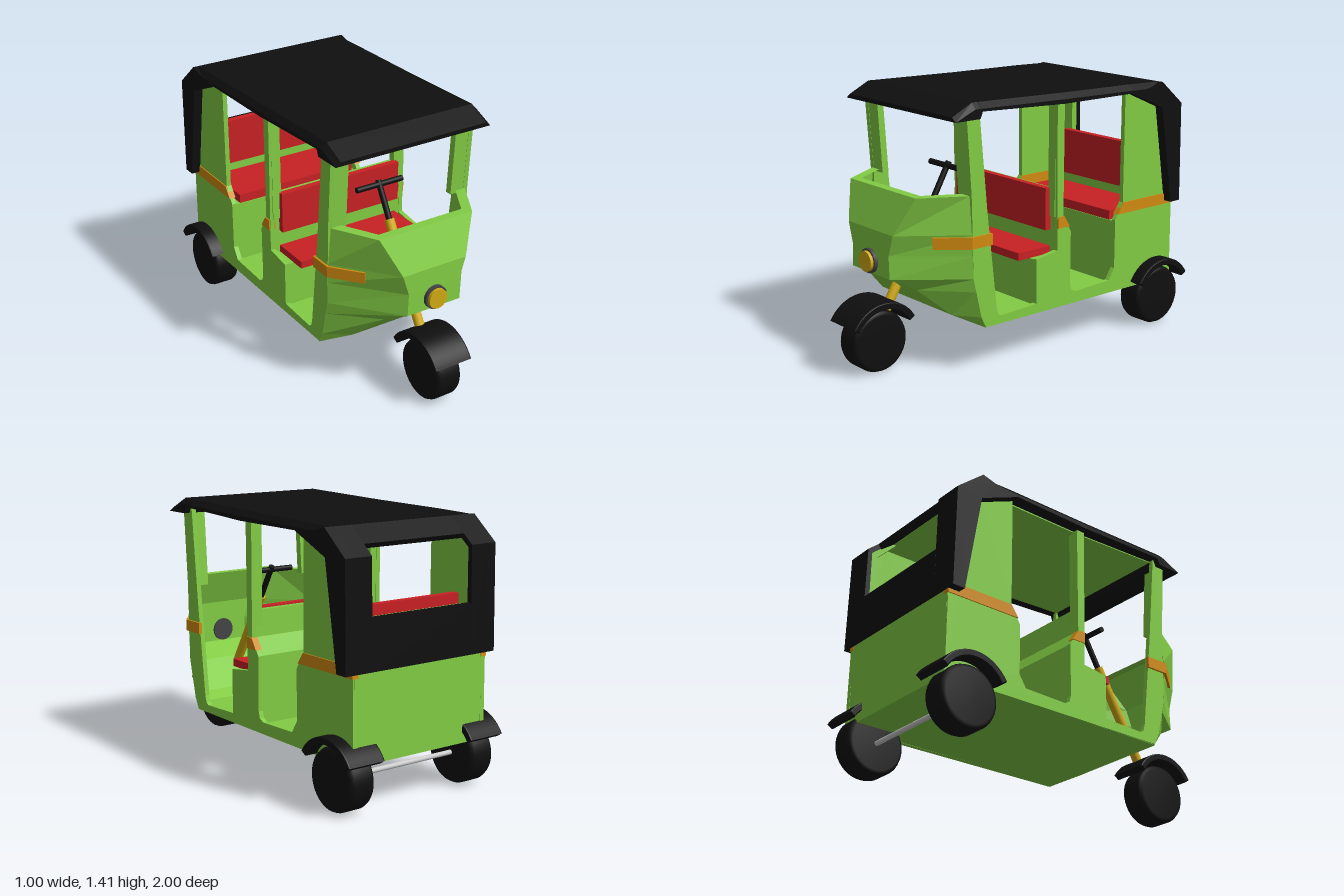
import * as THREE from 'three';

const mat = (color, extra = {}) => new THREE.MeshStandardMaterial({ color, ...extra });
const green = mat(0x82cc44);
const greenShell = mat(0x82cc44, { flatShading: true, side: THREE.DoubleSide });
const black = mat(0x0f0f0f);
const blackFlat = mat(0x0f0f0f, { flatShading: true, side: THREE.DoubleSide });
const red = mat(0xc82024);
const orange = mat(0xd08a10);
const yellow = mat(0xd0aa14);
const grey = mat(0xcccccc);
const darkGrey = mat(0x444444);

const toShape = (pts) => new THREE.Shape(pts.map(([a, b]) => new THREE.Vector2(a, b)));

export function createModel() {
  const model = new THREE.Group();

  const add = (name, geometry, material, x = 0, y = 0, z = 0) => {
    const mesh = new THREE.Mesh(geometry, material);
    mesh.name = name;
    mesh.position.set(x, y, z);
    model.add(mesh);
    return mesh;
  };

  // Extrude a [z, y] side profile from x0 to x1
  const slab = (name, pts, x0, x1, material) => {
    const g = new THREE.ExtrudeGeometry(toShape(pts), { depth: x1 - x0, bevelEnabled: false, curveSegments: 24 });
    g.rotateY(-Math.PI / 2).translate(x1, 0, 0);
    return add(name, g, material);
  };
  const slabPair = (name, pts, x0, x1, material) => {
    slab(name + 'Left', pts, x0, x1, material);
    slab(name + 'Right', pts, -x1, -x0, material);
  };
  const rect = (z0, z1, y0, y1) => [[z0, y0], [z0, y1], [z1, y1], [z1, y0]];

  // Straight round bar between two points
  const bar = (name, a, b, r, material) => {
    const p = new THREE.Vector3(...a), q = new THREE.Vector3(...b);
    const mesh = add(name, new THREE.CylinderGeometry(r, r, p.distanceTo(q), 20), material);
    mesh.position.copy(p).add(q).multiplyScalar(0.5);
    mesh.quaternion.setFromUnitVectors(new THREE.Vector3(0, 1, 0), q.sub(p).normalize());
  };

  // Skin over equal-length cross-sections
  const loft = (name, rows, material, closed = false) => {
    const n = rows[0].length, idx = [];
    for (let i = 0; i < rows.length - 1; i++) {
      for (let j = 0; j < (closed ? n : n - 1); j++) {
        const a = i * n + j, b = i * n + (j + 1) % n;
        idx.push(a, a + n, b, b, a + n, b + n);
      }
    }
    if (closed) {
      const last = (rows.length - 1) * n;
      for (let j = 1; j < n - 1; j++) idx.push(0, j, j + 1, last, last + j + 1, last + j);
    }
    let g = new THREE.BufferGeometry();
    g.setAttribute('position', new THREE.Float32BufferAttribute(rows.flat(2), 3));
    g.setIndex(idx);
    g = g.toNonIndexed();
    g.computeVertexNormals();
    return add(name, g, material);
  };

  // Body sides with both door openings
  slabPair('bodySide', [
    [0.42, 0.25], [0.45, 0.31], [0.5, 0.52], [0.51, 0.945], [0.54, 1.37], [0.46, 1.37],
    [0.41, 0.85], [0.35, 0.34], [0.34, 0.305], [0.32, 0.292], [0.08, 0.3], [0.08, 0.54],
    [-0.065, 0.56], [-0.055, 1.35], [-0.105, 1.35], [-0.105, 0.74], [-0.16, 0.65],
    [-0.16, 0.36], [-0.17, 0.325], [-0.2, 0.31], [-0.45, 0.317], [-0.49, 0.38],
    [-0.49, 0.65], [-0.545, 0.74], [-0.545, 1.35], [-0.77, 1.345], [-0.9, 1.23], [-0.93, 0.7], [-0.935, 0.245],
  ], 0.4, 0.426, green);
  slab('floor', rect(0.42, -0.93, 0.248, 0.29), -0.42, 0.42, green);
  slab('rearWall', rect(-0.86, -0.932, 0.25, 0.95), -0.42, 0.42, green);
  slabPair('rearCorner', [[-0.87, 0.95], [-0.87, 1.22], [-0.75, 1.34], [-0.77, 1.35], [-0.905, 1.235], [-0.905, 0.95]], 0.32, 0.41, green);
  slabPair('frontPillar', [[0.508, 0.93], [0.538, 1.37], [0.5, 1.37], [0.47, 0.93]], 0.32, 0.41, green);
  slabPair('middlePillar', rect(-0.057, -0.103, 0.74, 1.35), 0.36, 0.41, green);

  // Faceted nose: height, front z, front half width, side z, side half width
  const nose = [
    [0.945, 0.74, 0.28, 0.51, 0.41], [0.75, 0.818, 0.19, 0.51, 0.426], [0.64, 0.82, 0.155, 0.505, 0.426],
    [0.52, 0.82, 0.16, 0.5, 0.426], [0.45, 0.69, 0.21, 0.485, 0.426],
    [0.31, 0.54, 0.3, 0.45, 0.426], [0.248, 0.42, 0.4, 0.42, 0.426],
  ];
  loft('nose', nose.map(([y, zf, hf, zs, hs]) => [[-hs, y, zs], [-hf, y, zf], [hf, y, zf], [hs, y, zs]]), greenShell);
  const rim = new THREE.ShapeGeometry(toShape([
    [0.41, -0.51], [0.28, -0.74], [-0.28, -0.74], [-0.41, -0.51],
    [-0.35, -0.51], [-0.25, -0.69], [0.25, -0.69], [0.35, -0.51],
  ]));
  add('noseRim', rim.rotateX(-Math.PI / 2), greenShell, 0, 0.945, 0);

  // Orange waist trim
  for (const s of [1, -1]) {
    const plan = [[0.315, 0.67], [0.438, 0.515], [0.438, 0.385], [0.42, 0.385], [0.415, 0.505], [0.295, 0.65]];
    const g = new THREE.ExtrudeGeometry(toShape(plan.map(([x, z]) => [s * x, -z])), { depth: 0.06, bevelEnabled: false });
    add('frontTrim', g.rotateX(-Math.PI / 2), orange, 0, 0.68, 0);
  }
  slabPair('middleTrim', [[-0.065, 0.68], [-0.065, 0.74], [-0.108, 0.74], [-0.147, 0.68]], 0.395, 0.432, orange);
  slabPair('rearTrim', [[-0.505, 0.68], [-0.548, 0.74], [-0.931, 0.74], [-0.934, 0.68]], 0.395, 0.432, orange);

  // Roof slab with bevelled long edges: z, top, bottom, half width
  const roof = [
    [0.63, 1.352, 1.33, 0.457], [0.51, 1.41, 1.33, 0.458], [0.48, 1.41, 1.33, 0.459], [0.465, 1.409, 1.365, 0.459],
    [-0.07, 1.395, 1.342, 0.467], [-0.545, 1.387, 1.342, 0.475], [-0.775, 1.38, 1.34, 0.478],
  ];
  loft('roof', roof.map(([z, t, b, w]) => {
    const m = Math.max(b, t - 0.03);
    return [[-w, b, z], [-w, m, z], [-w + 0.028, t, z], [w - 0.028, t, z], [w, m, z], [w, b, z]];
  }), blackFlat, true);
  slab('ceiling', [[0.46, 1.37], [0.46, 1.36], [-0.07, 1.336], [-0.77, 1.334], [-0.77, 1.35]], -0.4, 0.4, green);

  // Rear canopy wrapped around the window
  slabPair('canopySide', [[-0.545, 1.342], [-0.78, 1.24], [-0.87, 0.7], [-0.94, 0.7], [-0.93, 1.25], [-0.775, 1.38], [-0.7, 1.36]], 0.427, 0.478, black);
  slabPair('canopyCorner', [[-0.775, 1.38], [-0.93, 1.25], [-0.94, 0.7], [-0.91, 0.7], [-0.905, 1.235], [-0.77, 1.345]], 0.318, 0.43, black);
  slab('canopyBack', [[-0.94, 0.7], [-0.936, 0.96], [-0.906, 0.96], [-0.91, 0.7]], -0.32, 0.32, black);
  slab('canopyTop', [[-0.775, 1.38], [-0.87, 1.3], [-0.85, 1.275], [-0.76, 1.345]], -0.32, 0.32, black);

  // Seats
  slab('frontSeatBase', rect(0.08, -0.07, 0.28, 0.536), -0.405, 0.405, green);
  slab('frontSeatCushion', rect(0.155, -0.065, 0.535, 0.575), -0.37, 0.37, red);
  slab('frontSeatBack', rect(-0.03, -0.066, 0.665, 0.89), -0.37, 0.37, red);
  slab('partition', [[-0.066, 0.28], [-0.066, 0.88], [-0.1, 0.88], [-0.105, 0.74], [-0.158, 0.65], [-0.158, 0.28]], -0.405, 0.405, green);
  slab('rearSeatBase', rect(-0.495, -0.87, 0.28, 0.64), -0.405, 0.405, green);
  slab('rearSeatCushion', rect(-0.5, -0.81, 0.64, 0.69), -0.37, 0.37, red);
  slab('rearSeatBack', rect(-0.8, -0.84, 0.74, 1.0), -0.32, 0.32, red);

  // Wheels and mudguards
  const tyre = [[0, -0.073], [0.14, -0.073], [0.156, -0.066], [0.163, -0.05], [0.163, 0.05], [0.156, 0.066], [0.14, 0.073], [0, 0.073]];
  const wheelGeo = new THREE.LatheGeometry(tyre.map(([r, h]) => new THREE.Vector2(r, h)), 40).rotateZ(Math.PI / 2);
  const a0 = 0.56, a1 = Math.PI - a0;
  const guard = new THREE.Shape();
  guard.absarc(0, 0, 0.212, a0, a1, false);
  guard.absarc(0, 0, 0.187, a1, a0, true);
  const guardGeo = new THREE.ExtrudeGeometry(guard, {
    depth: 0.204, bevelThickness: 0.008, bevelSize: 0.006, bevelSegments: 2, curveSegments: 24,
  }).translate(0, 0, -0.102).rotateY(-Math.PI / 2);
  for (const [name, x, z] of [['front', 0, 0.815], ['rearLeft', 0.39, -0.81], ['rearRight', -0.39, -0.81]]) {
    add(name + 'Wheel', wheelGeo, black, x, 0.165, z);
    add(name + 'Mudguard', guardGeo, black, x, 0.165, z);
  }
  bar('rearAxle', [-0.33, 0.165, -0.81], [0.33, 0.165, -0.81], 0.013, grey);

  // Fork, steering column and handlebar
  bar('fork', [0, 0.2, 0.795], [0, 0.84, 0.42], 0.026, yellow);
  bar('steeringColumn', [0, 0.82, 0.43], [0, 1.02, 0.315], 0.016, black);
  bar('handlebar', [-0.14, 1.0, 0.327], [0.14, 1.0, 0.327], 0.015, black);

  // Headlight
  bar('headlightRim', [0, 0.585, 0.81], [0, 0.585, 0.84], 0.064, darkGrey);
  bar('headlightLens', [0, 0.585, 0.82], [0, 0.585, 0.857], 0.054, yellow);

  return model;
}
